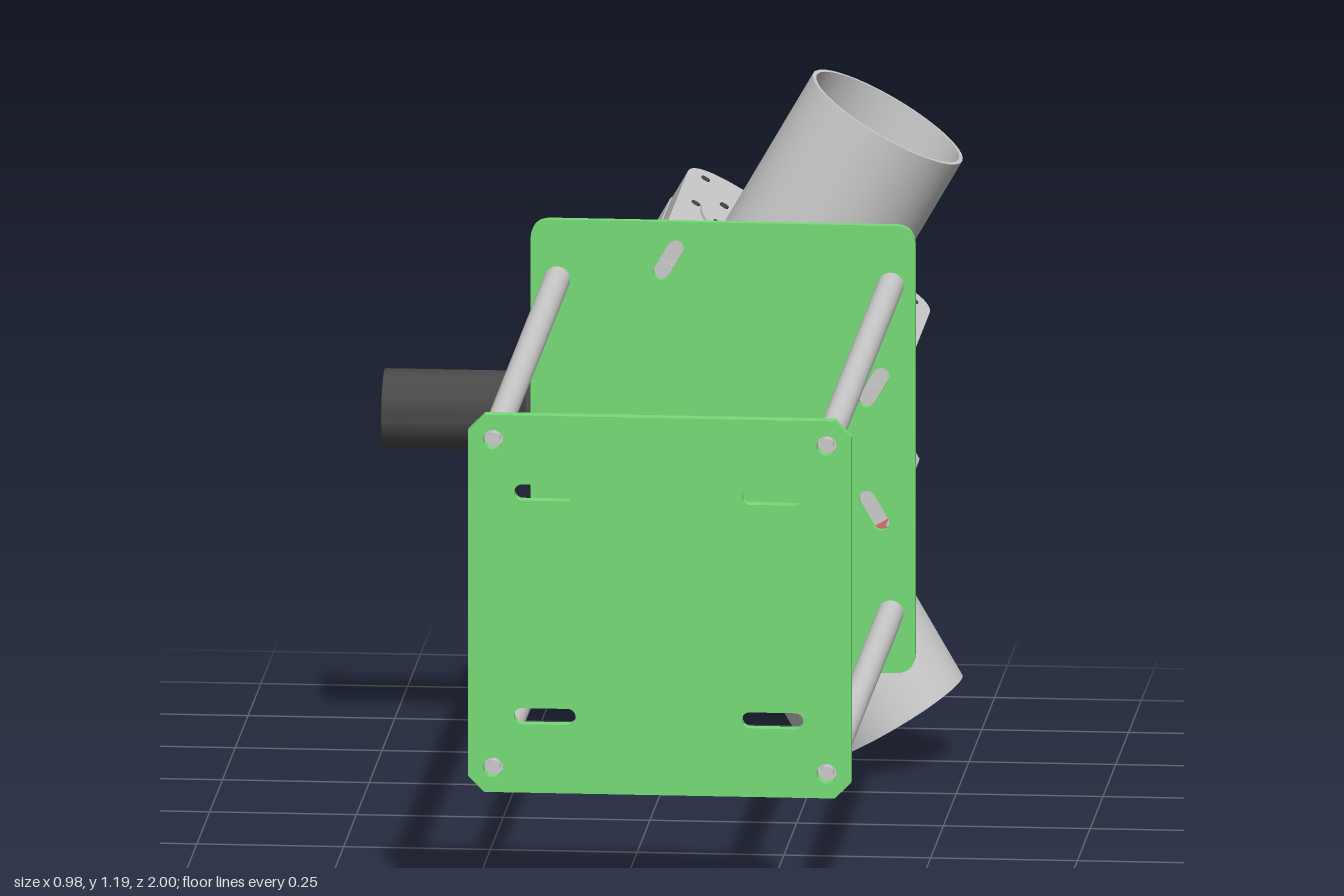
import * as THREE from 'three';
import { toCreasedNormals } from 'three/addons/utils/BufferGeometryUtils.js';

const mat = (color) => new THREE.MeshStandardMaterial({ color });
const GREY = mat(0xcccccc), GREEN = mat(0x77dd77), RED = mat(0xe07070), DARK = mat(0x484848);
const R = 0.147, BORE = 0.14;              // pipe radii
const HUB = [0.06, 0.603, -0.495];         // where the three pipes meet

function add(parent, name, geometry, material, x = 0, y = 0, z = 0) {
  const mesh = new THREE.Mesh(geometry, material);
  mesh.name = name;
  mesh.position.set(x, y, z);
  parent.add(mesh);
  return mesh;
}

const circle = (r, x = 0, y = 0) => new THREE.Path().absarc(x, y, r, 0, Math.PI * 2, true);

// Rectangle with four corner cuts: straight (chamfer) or round
function rect(x0, y0, x1, y1, lowCut, highCut, round = true) {
  const s = new THREE.Shape();
  const corner = (cx, cy, ex, ey) => (round ? s.quadraticCurveTo(cx, cy, ex, ey) : s.lineTo(ex, ey));
  const a = lowCut, b = highCut;
  s.moveTo(x0 + a, y0);
  s.lineTo(x1 - a, y0);
  if (a) corner(x1, y0, x1, y0 + a);
  s.lineTo(x1, y1 - b);
  if (b) corner(x1, y1, x1 - b, y1);
  s.lineTo(x0 + b, y1);
  if (b) corner(x0, y1, x0, y1 - b);
  s.lineTo(x0, y0 + a);
  if (a) corner(x0, y0, x0 + a, y0);
  return s;
}

// Rounded slot of given length and radius, turned by an angle
function slot(x, y, length, r, angle) {
  const h = length / 2 - r, c = Math.cos(angle) * h, s = Math.sin(angle) * h;
  const p = new THREE.Path();
  p.absarc(x + c, y + s, r, angle - Math.PI / 2, angle + Math.PI / 2, false);
  p.absarc(x - c, y - s, r, angle + Math.PI / 2, angle + Math.PI * 1.5, false);
  p.closePath();
  return p;
}

function extrude(shape, depth, holes = []) {
  shape.holes.push(...holes);
  return new THREE.ExtrudeGeometry(shape, { depth, bevelEnabled: false, curveSegments: 24 });
}
const plate = (shape, depth, holes) => toCreasedNormals(extrude(shape, depth, holes), 0.5);

// Slab lying across the local y axis, from y0 to y1; shape y points to the back
const slab = (shape, y0, y1, holes) =>
  plate(shape, y1 - y0, holes).rotateX(-Math.PI / 2).translate(0, y0, 0);
const disc = (r) => new THREE.Shape().absarc(0, 0, r, 0, Math.PI * 2, false);
const ring = (r, inner, y0, y1) => slab(disc(r), y0, y1, [circle(inner)]);

// Pipe from the hub whose inner end is mitred against its two neighbours
function mitredPipe(length) {
  const g = extrude(disc(R), length, [circle(BORE)]).rotateX(-Math.PI / 2);
  const p = g.attributes.position;
  for (let i = 0; i < p.count; i++) {
    if (p.getY(i) < 0.001) p.setY(i, Math.abs(p.getX(i)) / Math.sqrt(3));
  }
  return toCreasedNormals(g, 0.5);
}

function makeBranch(name, angle) {
  const g = new THREE.Group();
  g.name = name;
  g.position.set(...HUB);
  g.rotation.z = angle;
  return g;
}

const zCylinder = (r0, r1, length) =>
  new THREE.CylinderGeometry(r0, r1, length, 40).rotateX(Math.PI / 2);

// Pipe arm with a slide valve and its actuator
function makeValveBranch(name, angle, opened) {
  const g = makeBranch(name, angle);
  const top = opened ? 0.268 : 0.304;
  add(g, 'innerPipe', mitredPipe(0.2), GREY);
  add(g, 'outerPipe', ring(R, BORE, 0.28, 0.604), GREY);
  const body = (x, y0, y1) => slab(rect(-x, -0.232, x, 0.265, 0, 0.09), y0, y1, [circle(BORE)]);
  add(g, 'valveBody', body(0.24, 0.194, 0.246), GREY);
  add(g, 'valveCover', body(0.238, 0.247, top), GREY);
  add(g, 'innerFlange', ring(0.195, BORE, 0.188, 0.196), GREY);
  add(g, 'seal', ring(0.141, 0.128, 0.27, 0.295), RED);
  if (opened) {
    add(g, 'gasketFrame', slab(rect(-0.18, -0.18, 0.18, 0.18, 0, 0), 0.268, 0.304, [circle(BORE)]), RED);
  }
  const face = opened ? 0.318 : 0.309;
  add(g, 'outerFlange', ring(0.195, BORE, 0.3, face), GREY);
  // Bolts on the flange and near the corners of the body
  const bolt = new THREE.CylinderGeometry(0.008, 0.008, 0.008, 12);
  for (let i = 0; i < 8; i++) {
    const a = (i + 0.5) * Math.PI / 4;
    add(g, 'flangeBolt', bolt, DARK, 0.172 * Math.cos(a), face, 0.172 * Math.sin(a));
  }
  for (const x of [-0.205, 0.205]) for (const z of [-0.19, 0, 0.2]) {
    add(g, 'bodyBolt', bolt, DARK, x, top - 0.001, z);
    add(g, 'bodyBolt', bolt, DARK, x, 0.194, z);
  }
  // Actuator, pointing to the back
  const y = 0.255;
  add(g, 'actuatorMount', new THREE.BoxGeometry(0.18, 0.13, 0.075), GREY, 0, y, -0.268);
  add(g, 'actuatorBody', zCylinder(0.094, 0.094, 0.14), GREY, 0, y, -0.348);
  add(g, 'actuatorCap', zCylinder(0.094, 0.08, 0.012), GREY, 0, y, -0.422);
  add(g, 'actuatorNeck', zCylinder(0.056, 0.056, 0.05), GREY, 0, y, -0.44);
  add(g, 'actuatorHead', zCylinder(0.048, 0.048, 0.04), GREY, 0, y, -0.482);
  for (const s of [-1, 1]) {
    add(g, 'actuatorClip', new THREE.BoxGeometry(0.014, 0.03, 0.07), GREY, s * 0.05, y, -0.469);
    add(g, 'actuatorPort', new THREE.BoxGeometry(0.05, 0.03, 0.06), GREY, 0, y + s * 0.084, -0.36);
  }
  return g;
}

export function createModel() {
  const model = new THREE.Group();
  const rodX = [-0.18, 0.388], rodY = [0.318, 0.888];

  // Front plate with four slots and chamfered corners
  const frontHoles = [];
  for (const x of [-0.092, 0.296]) for (const y of [0.408, 0.797]) frontHoles.push(slot(x, y, 0.105, 0.014, 0));
  for (const x of rodX) for (const y of rodY) frontHoles.push(circle(0.017, x, y));
  add(model, 'frontPlate', plate(rect(-0.223, 0.275, 0.43, 0.931, 0.028, 0.028, false), 0.022, frontHoles),
    GREEN, 0, 0, 0.978);

  // Back plate with tilted slots for the valves
  const a = Math.PI / 3;
  const backHoles = [[0.01, 0.925, a], [0.36, 0.71, a], [0.36, 0.496, -a], [0.01, 0.281, -a]]
    .map(([x, y, t]) => slot(x, y, 0.075, 0.014, t));
  add(model, 'backPlate', plate(rect(-0.225, 0.214, 0.43, 0.992, 0.035, 0.035), 0.014, backHoles),
    GREEN, 0, 0, -0.264);

  // Four long rods with a screw at each end
  for (const x of rodX) for (const y of rodY) {
    add(model, 'rod', zCylinder(0.0225, 0.0225, 1.228), GREY, x, y, 0.364);
    add(model, 'rodFrontScrew', zCylinder(0.011, 0.011, 0.018), GREY, x, y, 0.985);
    add(model, 'rodBackScrew', zCylinder(0.014, 0.014, 0.008), GREY, x, y, -0.266);
  }

  // Upper and lower arms
  model.add(makeValveBranch('upperBranch', -Math.PI / 6, false));
  model.add(makeValveBranch('lowerBranch', -Math.PI * 5 / 6, true));

  // Side arm with a flange and a dark reducer nozzle
  const side = makeBranch('sideBranch', Math.PI / 2);
  add(side, 'sidePipe', mitredPipe(0.24), GREY);
  add(side, 'sideFlange', ring(0.2, BORE, 0.225, 0.257), GREY);
  const profile = [[0.055, 0.555], [0.055, 0.255], [0.15, 0.255], [0.15, 0.302], [0.1, 0.302],
    [0.068, 0.332], [0.068, 0.555], [0.055, 0.555]].map(([x, y]) => new THREE.Vector2(x, y));
  const nozzle = new THREE.LatheGeometry(profile, 48).toNonIndexed();
  add(side, 'nozzle', toCreasedNormals(nozzle, 0.5), DARK).material.side = THREE.DoubleSide;
  for (let i = 0; i < 8; i++) {
    const t = (i + 0.5) * Math.PI / 4;
    add(side, 'sideBolt', new THREE.CylinderGeometry(0.008, 0.008, 0.008, 12), DARK,
      0.175 * Math.cos(t), 0.258, 0.175 * Math.sin(t));
  }
  model.add(side);

  // Angle bracket holding the side flange; its web is cut out around the nozzle
  const web = new THREE.Shape();
  const r = 0.155, half = 0.215, cut = Math.acos(0.085 / r);
  web.moveTo(0.265, -half);
  web.lineTo(0.41, -half + 0.0);
  web.lineTo(0.41, -r * Math.sin(cut));
  web.absarc(0.495, 0, r, Math.PI + cut, Math.PI - cut, true);
  web.lineTo(0.41, half - 0.04);
  web.quadraticCurveTo(0.41, half, 0.37, half);
  web.lineTo(0.265, half);
  const webGeometry = plate(web, 0.01).rotateY(Math.PI / 2);
  add(model, 'bracketWeb', webGeometry, GREEN, -0.208, HUB[1], 0);
  add(model, 'bracketFoot', new THREE.BoxGeometry(0.11, 2 * half, 0.01), GREEN, -0.148, HUB[1], -0.269);

  return model;
}
